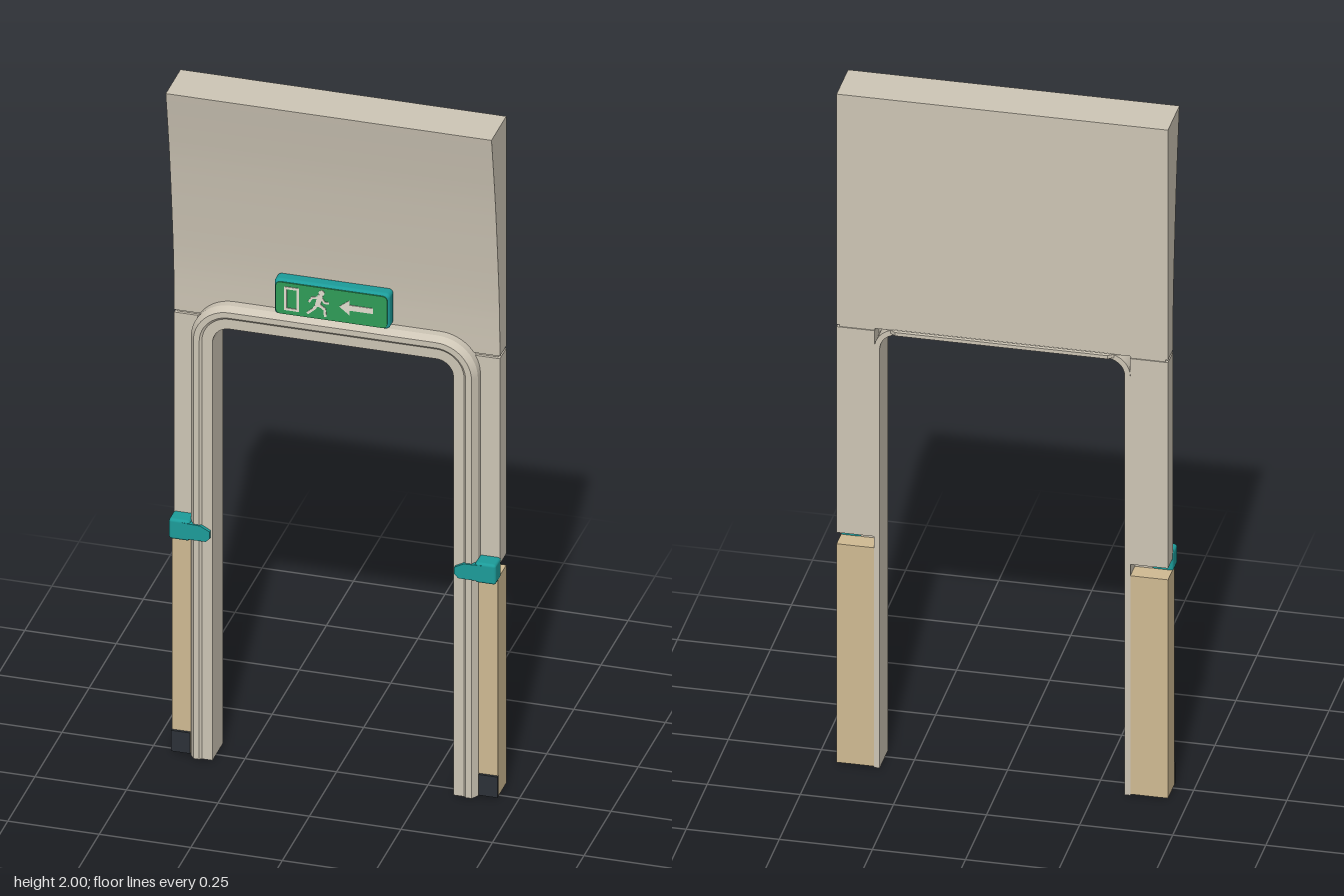
import * as THREE from 'three';
import { toCreasedNormals } from 'three/addons/utils/BufferGeometryUtils.js';
import { RoundedBoxGeometry } from 'three/addons/geometries/RoundedBoxGeometry.js';

const mat = (name, color) => Object.assign(new THREE.MeshStandardMaterial({ color }), { name });

export function createModel() {
  const stone = mat('stone', 0xcdc5b5);
  const tan = mat('tan', 0xcfba92);
  const teal = mat('teal', 0x1c9c9a);
  const green = mat('sign green', 0x2f9c58);
  const black = mat('black', 0x2c3137);
  const pale = mat('pale', 0xe2ddcf);

  const model = new THREE.Group();
  const add = (name, geo, material, parent = model) => {
    const m = new THREE.Mesh(geo, material);
    m.name = name;
    parent.add(m);
    return m;
  };
  // Box given by its limits
  const box = (x0, x1, y0, y1, z0, z1) =>
    new THREE.BoxGeometry(x1 - x0, y1 - y0, z1 - z0)
      .translate((x0 + x1) / 2, (y0 + y1) / 2, (z0 + z1) / 2);
  const polygon = pts => new THREE.Shape(pts.map(p => new THREE.Vector2(...p)));
  const plate = (shape, z0, z1) =>
    new THREE.ExtrudeGeometry(shape, { depth: z1 - z0, bevelEnabled: false }).translate(0, 0, z0);

  // Upper wall: side profile with a front that flares out toward the top
  const side = new THREE.Shape();
  side.moveTo(-0.063, 1.312);
  side.lineTo(-0.005, 1.312);
  side.splineThru([[0, 1.45], [0.014, 1.6], [0.039, 1.8], [0.073, 2]].map(p => new THREE.Vector2(...p)));
  side.lineTo(-0.063, 2);
  const wall = new THREE.ExtrudeGeometry(side, { depth: 0.89, bevelEnabled: false, curveSegments: 16 });
  wall.rotateY(-Math.PI / 2).translate(0.445, 0, 0);
  add('upperWall', toCreasedNormals(wall, 0.4), stone);

  // Door frame: a moulding with a jamb lining, swept around the opening
  // Profile points are [distance inward from the outer edge, z]
  const profile = [[0, -0.01], [0, 0.02], [0.012, 0.038], [0.028, 0.038], [0.034, 0.033],
    [0.063, 0.033], [0.063, -0.064], [0.048, -0.064], [0.048, -0.01]];
  const X = 0.392, TOP = 1.362, R = 0.11, STEPS = 12;
  const path = [{ x: -(X - R), y: 0, nx: -1, ny: 0 }];
  for (const s of [-1, 1]) {
    for (let i = 0; i <= STEPS; i++) {
      const a = (s < 0 ? Math.PI : Math.PI / 2) - (i / STEPS) * Math.PI / 2;
      path.push({ x: s * (X - R), y: TOP - R, nx: Math.cos(a), ny: Math.sin(a) });
    }
  }
  path.push({ x: X - R, y: 0, nx: 1, ny: 0 });
  const pos = [], index = [];
  profile.forEach((p, j) => {
    const q = profile[(j + 1) % profile.length];
    const base = pos.length / 3;
    path.forEach((c, i) => {
      for (const [d, z] of [p, q]) pos.push(c.x + c.nx * (R - d), c.y + c.ny * (R - d), z);
      if (i === 0) return;
      const a = base + (i - 1) * 2;
      index.push(a, a + 1, a + 2, a + 1, a + 3, a + 2);
    });
  });
  const frame = new THREE.BufferGeometry();
  frame.setAttribute('position', new THREE.Float32BufferAttribute(pos, 3));
  frame.setIndex(index);
  frame.computeVertexNormals();
  add('doorFrame', frame, stone);

  // Thin lip behind the lintel, with slanted ends
  const lip = plate(polygon([[-0.305, -0.06], [-0.285, -0.075], [0.285, -0.075], [0.305, -0.06]]), 0, 0.01);
  add('lintelLip', lip.rotateX(Math.PI / 2).translate(0, 1.313, 0), stone);

  // Posts, the same on both sides
  for (const s of [-1, 1]) {
    const post = new THREE.Group();
    post.name = s > 0 ? 'leftPost' : 'rightPost';
    model.add(post);
    const span = (a, b, ...rest) => box(Math.min(s * a, s * b), Math.max(s * a, s * b), ...rest);

    add('upperPost', span(0.343, 0.445, 0.69, 1.305, -0.063, -0.004), stone, post);
    add('seamFiller', span(0.343, 0.438, 1.3, 1.315, -0.06, -0.012), stone, post);
    add('lowerPanel', span(0.343, 0.445, 0.003, 0.656, -0.063, 0.015), tan, post);
    add('footPlate', span(0.394, 0.446, 0.004, 0.066, 0.014, 0.022), black, post);

    const foot = new THREE.ShapeGeometry(polygon(profile.map(([d, z]) => [s * (X - d), z])));
    add('frameFoot', foot.rotateX(Math.PI / 2), stone, post);

    // Clip holding the frame to the post
    const block = new RoundedBoxGeometry(0.058, 0.06, 0.053, 2, 0.008);
    add('clipBlock', block.translate(s * 0.418, 0.68, 0.016), teal, post);
    const tongue = polygon([[0.41, 0.704], [0.41, 0.657], [0.345, 0.657], [0.334, 0.668],
      [0.334, 0.688], [0.36, 0.702]].map(([x, y]) => [s * x, y]));
    add('clipTongue', plate(tongue, 0.02, 0.043), teal, post);
  }

  // Exit sign
  const sign = new THREE.Group();
  sign.name = 'exitSign';
  sign.position.set(-0.002, 1.42, 0);
  model.add(sign);
  add('signCase', new RoundedBoxGeometry(0.316, 0.106, 0.044, 3, 0.012).translate(0, 0, 0.018), teal, sign);
  const w = 0.152, h = 0.047, r = 0.012;
  const face = new THREE.Shape();
  face.absarc(w - r, h - r, r, 0, Math.PI / 2);
  face.absarc(-w + r, h - r, r, Math.PI / 2, Math.PI);
  face.absarc(-w + r, -h + r, r, Math.PI, Math.PI * 1.5);
  face.absarc(w - r, -h + r, r, Math.PI * 1.5, Math.PI * 2);
  add('signFace', plate(face, 0.034, 0.042), green, sign);

  const Z0 = 0.041, Z1 = 0.044;
  const door = polygon([[-0.128, -0.034], [-0.088, -0.034], [-0.088, 0.036], [-0.128, 0.036]]);
  door.holes.push(polygon([[-0.121, -0.027], [-0.095, -0.027], [-0.095, 0.029], [-0.121, 0.029]]));
  add('doorSymbol', plate(door, Z0, Z1), pale, sign);
  const arrow = polygon([[0.022, 0], [0.05, 0.022], [0.05, 0.008], [0.114, 0.008],
    [0.114, -0.008], [0.05, -0.008], [0.05, -0.022]]);
  add('arrowSymbol', plate(arrow, Z0, Z1), pale, sign);

  // Running figure: head and limbs as short bars
  const runner = new THREE.Group();
  runner.name = 'runnerSymbol';
  runner.position.x = -0.034;
  sign.add(runner);
  add('head', new THREE.CylinderGeometry(0.008, 0.008, Z1 - Z0, 16)
    .rotateX(Math.PI / 2).translate(0.008, 0.032, (Z0 + Z1) / 2), pale, runner);
  const bars = [['torso', 0.004, 0.022, -0.003, -0.006, 0.014], ['frontArm', 0, 0.018, -0.018, 0.014, 0.006],
    ['frontForearm', -0.018, 0.014, -0.026, 0.002, 0.006], ['rearArm', 0.006, 0.018, 0.016, 0.004, 0.006],
    ['rearForearm', 0.016, 0.004, 0.027, 0.004, 0.006], ['frontThigh', -0.004, -0.004, -0.013, -0.018, 0.008],
    ['frontShin', -0.013, -0.018, -0.03, -0.033, 0.007], ['rearThigh', 0, -0.004, 0.016, -0.015, 0.008],
    ['rearShin', 0.016, -0.015, 0.018, -0.036, 0.007]];
  for (const [name, x0, y0, x1, y1, t] of bars) {
    const bar = new THREE.BoxGeometry(Math.hypot(x1 - x0, y1 - y0) + t * 0.5, t, Z1 - Z0)
      .rotateZ(Math.atan2(y1 - y0, x1 - x0))
      .translate((x0 + x1) / 2, (y0 + y1) / 2, (Z0 + Z1) / 2);
    add(name, bar, pale, runner);
  }
  return model;
}
